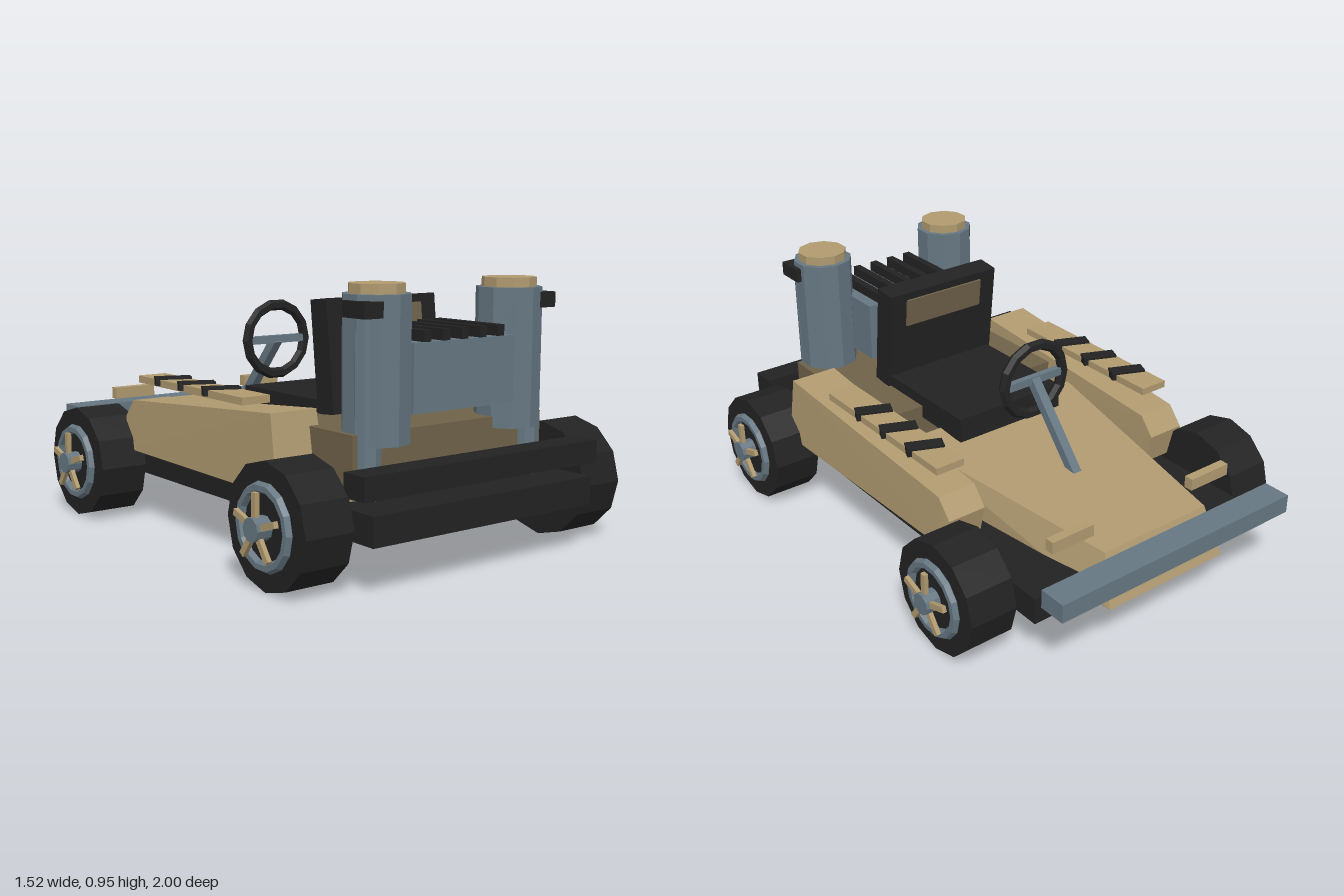
import * as THREE from 'three';
import { ConvexGeometry } from 'three/addons/geometries/ConvexGeometry.js';

const mat = (name, color) => {
  const m = new THREE.MeshStandardMaterial({ color });
  m.name = name;
  m.flatShading = true;
  return m;
};

export function createModel() {
  const kart = new THREE.Group();
  kart.name = 'kart';
  const tan = mat('tan', 0xb09a70);
  const brown = mat('darkTan', 0x6f6249);
  const slate = mat('slate', 0x667782);
  const black = mat('black', 0x222222);

  const add = (name, geometry, material, parent = kart) => {
    const mesh = new THREE.Mesh(geometry, material);
    mesh.name = name;
    parent.add(mesh);
    return mesh;
  };
  // Box given by its extents on each axis
  const box = (name, material, [x0, x1], [y0, y1], [z0, z1], parent) => {
    const m = add(name, new THREE.BoxGeometry(x1 - x0, y1 - y0, z1 - z0), material, parent);
    m.position.set((x0 + x1) / 2, (y0 + y1) / 2, (z0 + z1) / 2);
    return m;
  };
  const upright = (name, material, r, y0, y1, x, z, sides = 10) => {
    const m = add(name, new THREE.CylinderGeometry(r, r, y1 - y0, sides), material);
    m.position.set(x, (y0 + y1) / 2, z);
    return m;
  };
  const hull = (name, points, material) =>
    add(name, new ConvexGeometry(points.map((p) => new THREE.Vector3(...p))), material);

  // Floor, bumper, wing and rear deck
  box('chassis', black, [-0.49, 0.49], [0.165, 0.265], [-0.82, 0.995]);
  box('bumper', black, [-0.523, 0.523], [0.31, 0.39], [0.89, 0.99]);
  box('wing', slate, [-0.527, 0.527], [0.295, 0.365], [-1, -0.895]);
  box('underTray', tan, [-0.44, 0.44], [0.262, 0.287], [0.19, 0.8]);
  box('rearDeck', brown, [-0.425, 0.425], [0.285, 0.48], [0.18, 0.81]);

  // Tapered nose
  const nose = [];
  for (const s of [-1, 1]) {
    nose.push([s * 0.265, 0.19, -0.94], [s * 0.235, 0.37, -0.87], [s * 0.395, 0.437, 0.06],
      [s * 0.4, 0.262, 0.12], [s * 0.265, 0.19, -0.8]);
  }
  hull('nose', nose, tan);

  // Seat
  box('seatCushion', black, [-0.238, 0.238], [0.43, 0.525], [-0.07, 0.43]);
  const seatBack = new THREE.Group();
  seatBack.name = 'seatBack';
  seatBack.position.set(0, 0.68, 0.42);
  seatBack.rotation.x = -0.11;
  kart.add(seatBack);
  box('backrest', black, [-0.248, 0.248], [-0.2, 0.2], [-0.045, 0.045], seatBack);
  box('headPanel', brown, [-0.175, 0.175], [0.06, 0.17], [-0.053, 0.053], seatBack);

  // Engine block with cooling fins
  box('engine', slate, [-0.225, 0.225], [0.535, 0.765], [0.55, 0.87]);
  for (let i = -2; i <= 2; i++) {
    const x = i * 0.082;
    box('coolingFin', black, [x - 0.015, x + 0.015], [0.765, 0.803], [0.555, 0.868]);
  }

  // Steering
  const steeringWheel = add('steeringWheel', new THREE.TorusGeometry(0.137, 0.021, 6, 14), black);
  steeringWheel.position.set(0, 0.675, -0.203);
  box('steeringBar', slate, [-0.13, 0.13], [0.66, 0.69], [-0.215, -0.19]);
  const from = new THREE.Vector3(0, 0.675, -0.2);
  const to = new THREE.Vector3(0, 0.385, -0.45);
  const column = add('steeringColumn', new THREE.BoxGeometry(0.036, 0.036, from.distanceTo(to)), slate);
  column.position.copy(from).lerp(to, 0.5);
  column.lookAt(to);

  for (const s of [-1, 1]) {
    const span = (a, b) => (s > 0 ? [a, b] : [-b, -a]);

    // Side pod: profile of z, y, inner x, outer x
    const pod = [];
    for (const [z, y, inner, outer] of [[0.575, 0.535, 0.39, 0.575], [-0.37, 0.46, 0.4, 0.552],
      [-0.43, 0.39, 0.4, 0.552], [-0.4, 0.268, 0.4, 0.56], [0.62, 0.268, 0.38, 0.583]]) {
      pod.push([s * inner, y, z], [s * outer, y, z]);
    }
    hull('sidePod', pod, tan);
    box('podRail', tan, span(0.425, 0.54), [0.53, 0.557], [-0.345, 0.36]);
    for (const z of [-0.19, -0.025, 0.14]) {
      const strap = add('strap', new THREE.BoxGeometry(0.135, 0.03, 0.055), black);
      strap.position.set(s * 0.482, 0.55, z);
      strap.rotation.y = -0.4;
    }
    box('canard', tan, span(0.23, 0.41), [0.403, 0.448], [-0.808, -0.773]);

    // Exhaust stack
    upright('exhaustStack', slate, 0.115, 0.44, 0.922, s * 0.297, 0.77);
    upright('exhaustCap', tan, 0.095, 0.92, 0.955, s * 0.297, 0.77);
    upright('exhaustPipe', slate, 0.048, 0.265, 0.9, s * 0.36, 0.8, 8);
    box('exhaustClamp', black, span(0.35, 0.425), [0.85, 0.903], [0.755, 0.868]);

    // Wheels
    for (const z of [0.73, -0.55]) {
      const wheel = new THREE.Group();
      wheel.name = 'wheel';
      wheel.position.set(0, 0.211, z);
      wheel.rotation.y = s > 0 ? 0 : Math.PI;
      kart.add(wheel);
      const disc = (name, material, r, x0, x1, sides) => {
        const m = add(name, new THREE.CylinderGeometry(r, r, x1 - x0, sides), material, wheel);
        m.rotation.z = Math.PI / 2;
        m.position.x = (x0 + x1) / 2;
      };
      disc('tyre', black, 0.211, 0.52, 0.705, 12);
      disc('axle', slate, 0.028, 0.4, 0.55, 8);
      disc('hub', slate, 0.04, 0.7, 0.762, 10);
      const rim = add('rim', new THREE.TorusGeometry(0.128, 0.019, 6, 14), slate, wheel);
      rim.rotation.y = Math.PI / 2;
      rim.position.x = 0.708;
      for (let i = 0; i < 5; i++) {
        const spoke = add('spoke', new THREE.BoxGeometry(0.016, 0.09, 0.022).translate(0, 0.071, 0), tan, wheel);
        spoke.position.x = 0.742;
        spoke.rotation.x = (i * Math.PI * 2) / 5;
      }
    }
  }
  return kart;
}
